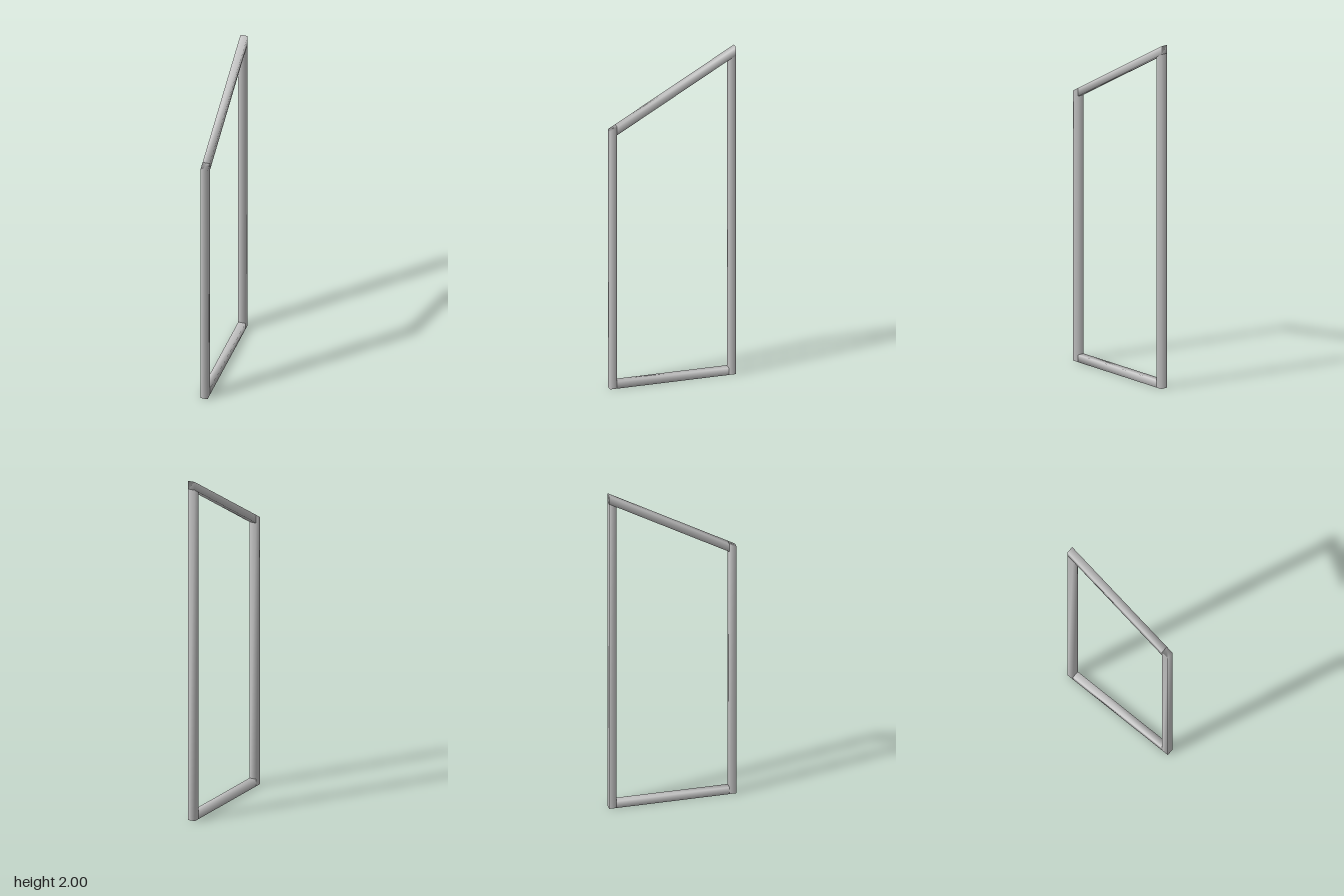
import * as THREE from 'three';
import { mergeVertices } from 'three/addons/utils/BufferGeometryUtils.js';

const BAR = 0.042;          // square bar thickness
const OUT = 0.367;          // outer half depth of the frame
const INN = OUT - BAR;      // inner half depth
const SLOPE = Math.tan(Math.PI / 6);
const DROP = BAR / Math.cos(Math.PI / 6); // upright thickness of the sloped bar

// Height of the sloped upper edge at depth z
const topAt = (z) => 2 - (z + OUT) * SLOPE;

export function createModel() {
  const group = new THREE.Group();
  const material = new THREE.MeshStandardMaterial({ color: 0xcccccc });

  // A bar from its side outline, given as [z, y] corners
  function bar(name, corners) {
    const shape = new THREE.Shape(corners.map(([z, y]) => new THREE.Vector2(z, y)));
    let geo = new THREE.ExtrudeGeometry(shape, { depth: BAR, bevelEnabled: false });
    geo.translate(0, 0, -BAR / 2).rotateY(-Math.PI / 2);
    // Shared corners give the soft shading along each bar
    geo.deleteAttribute('normal');
    geo.deleteAttribute('uv');
    geo = mergeVertices(geo);
    geo.computeVertexNormals();
    const mesh = new THREE.Mesh(geo, material);
    mesh.name = name;
    group.add(mesh);
  }

  // Short front post with a cut top
  bar('frontPost', [[INN, 0], [OUT, 0], [OUT, topAt(OUT)], [INN, topAt(INN)]]);
  // Tall back post, ending under the sloped bar
  bar('backPost', [[-OUT, 0], [-INN, 0], [-INN, topAt(-INN) - DROP], [-OUT, topAt(-OUT) - DROP]]);
  // Sloped top bar
  bar('topRail', [[-OUT, topAt(-OUT) - DROP], [INN, topAt(INN) - DROP], [INN, topAt(INN)], [-OUT, topAt(-OUT)]]);
  // Level bottom bar between the posts
  bar('bottomRail', [[-INN, 0], [INN, 0], [INN, BAR], [-INN, BAR]]);

  return group;
}
